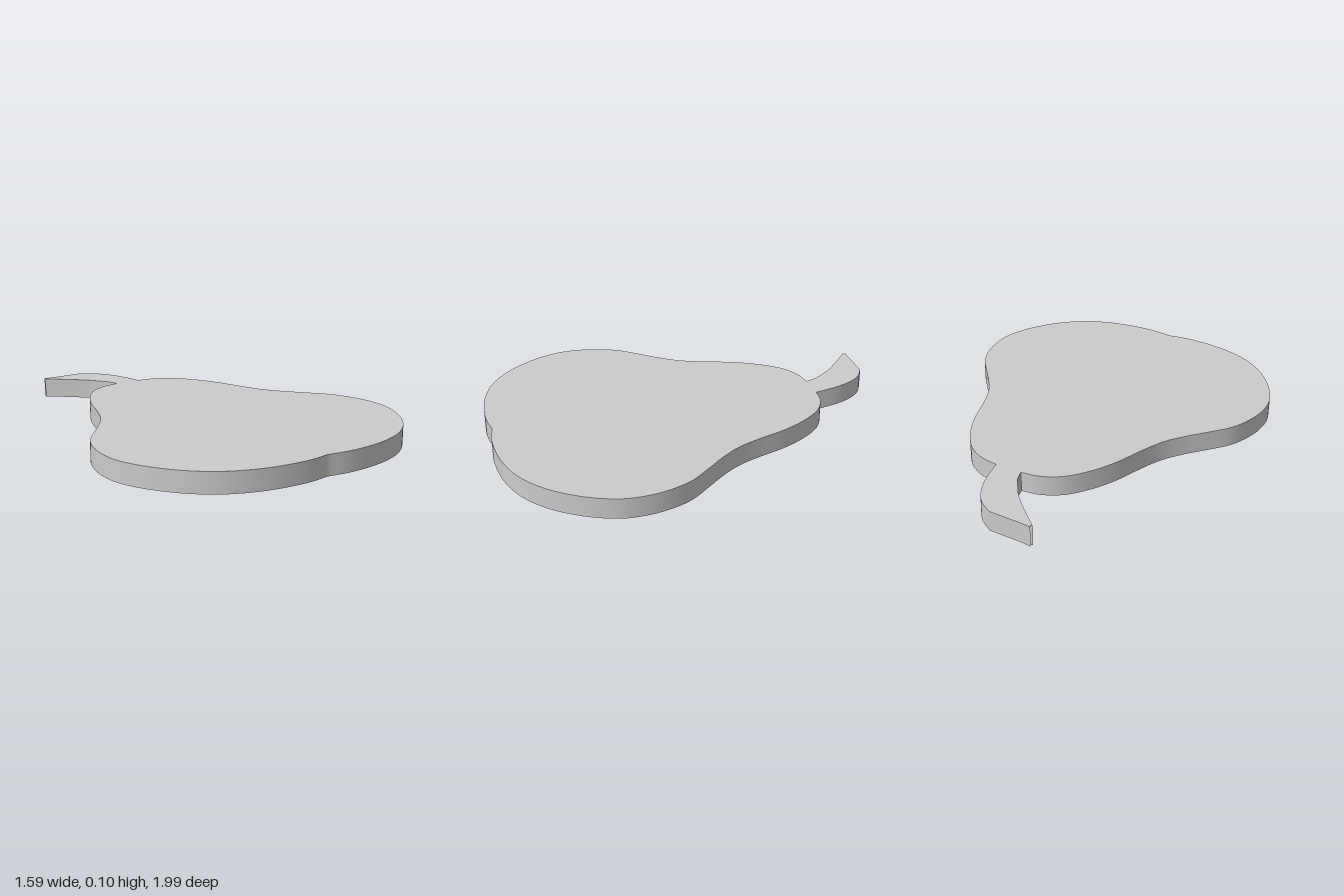
import * as THREE from 'three';
import { toCreasedNormals } from 'three/addons/utils/BufferGeometryUtils.js';

const THICKNESS = 0.1;

// Half outline of the fruit as [x, z], from beside the stem to the notch at the bottom
const HALF = [
  [0.068, -0.662], [0.163, -0.645], [0.258, -0.588], [0.34, -0.483], [0.402, -0.36],
  [0.45, -0.22], [0.5, -0.1], [0.568, 0], [0.648, 0.095], [0.73, 0.2], [0.778, 0.325],
  [0.793, 0.445], [0.778, 0.555], [0.716, 0.69], [0.615, 0.82], [0.482, 0.918],
  [0.318, 0.975], [0.135, 0.993], [0, 0.977],
];

// Stem edges as [x, z]: inner edge out to the tip, outer edge back to the fruit
const STEM_INNER = [[-0.085, -0.715], [-0.115, -0.76], [-0.155, -0.815], [-0.225, -0.885], [-0.338, -0.985]];
const STEM_END = [[-0.29, -0.994], [-0.2, -0.992], [-0.12, -0.99]];
const STEM_OUTER = [[-0.05, -0.945], [0, -0.88], [0.04, -0.785], [0.068, -0.662]];

// Drawing plane y is -z, so the shape can be laid flat after extruding
const toPlane = (points) => points.map(([x, z]) => new THREE.Vector2(x, -z));

export function createModel() {
  const group = new THREE.Group();
  group.name = 'pearPlaque';

  // Fruit outline: right half down to the notch, mirrored half back up
  const left = HALF.map(([x, z]) => [-x, z]).reverse();
  const outline = new THREE.Shape();
  outline.moveTo(HALF[0][0], -HALF[0][1]);
  outline.splineThru(toPlane(HALF.slice(1)));
  outline.splineThru(toPlane(left.slice(1)));

  // Curved stem with a small nick at its tip
  outline.splineThru(toPlane(STEM_INNER));
  outline.lineTo(-0.325, 0.987);
  outline.lineTo(-0.335, 1);
  outline.splineThru(toPlane(STEM_END));
  outline.splineThru(toPlane(STEM_OUTER));

  // Flat slab lying on the ground with smooth side walls
  const slab = new THREE.ExtrudeGeometry(outline, { depth: THICKNESS, bevelEnabled: false, curveSegments: 5 });
  slab.rotateX(-Math.PI / 2);
  const pear = new THREE.Mesh(
    toCreasedNormals(slab, 0.4),
    new THREE.MeshStandardMaterial({ color: 0xcccccc }),
  );
  pear.name = 'pearWithStem';
  group.add(pear);
  return group;
}
